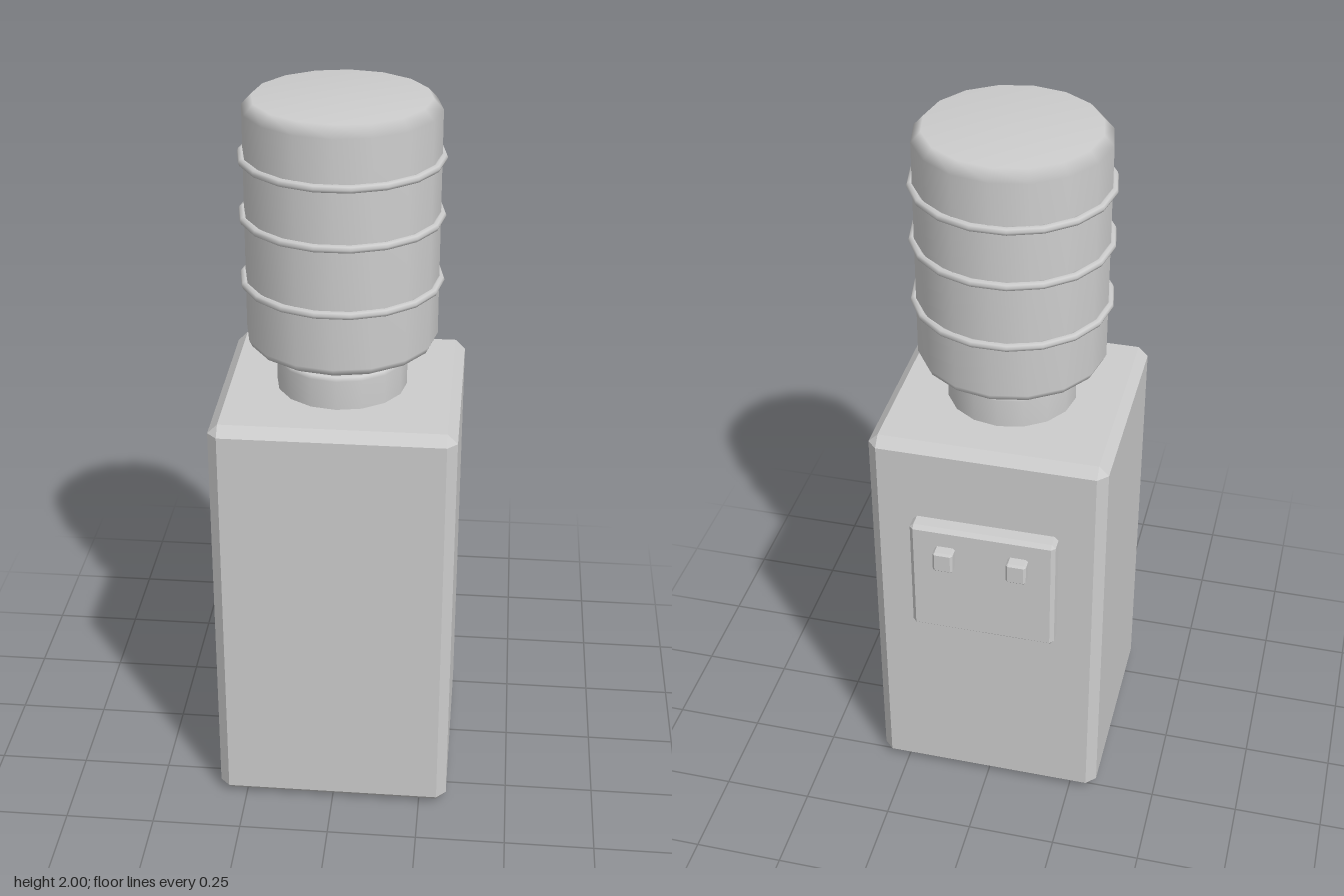
import * as THREE from 'three';
import { ConvexGeometry } from 'three/addons/geometries/ConvexGeometry.js';

const BOTTLE_Z = 0.039;

// Box with flat 45-degree chamfers on every edge, given by its min/max corners
function chamferBox(min, max, c) {
  const half = min.map((v, i) => (max[i] - v) / 2);
  const mid = min.map((v, i) => (max[i] + v) / 2);
  const points = [];
  for (const sx of [-1, 1]) for (const sy of [-1, 1]) for (const sz of [-1, 1]) {
    for (let axis = 0; axis < 3; axis++) {
      const p = [sx, sy, sz].map((s, i) => mid[i] + s * (half[i] - (i === axis ? 0 : c)));
      points.push(new THREE.Vector3(...p));
    }
  }
  return new ConvexGeometry(points);
}

export function createModel() {
  const model = new THREE.Group();
  model.name = 'waterCooler';
  const grey = new THREE.MeshStandardMaterial({ color: 0xcccccc });
  grey.name = 'lightGrey';

  const add = (name, geometry, x = 0, y = 0, z = 0) => {
    const mesh = new THREE.Mesh(geometry, grey);
    mesh.name = name;
    mesh.position.set(x, y, z);
    model.add(mesh);
  };
  const lathe = (pairs) =>
    new THREE.LatheGeometry(pairs.map(([r, y]) => new THREE.Vector2(r, y)), 16);

  // Cabinet
  add('cabinet', chamferBox([-0.328, 0, -0.277], [0.328, 1.2, 0.355], 0.027));

  // Tap panel with two taps on the back
  add('tapPanel', chamferBox([-0.203, 0.605, -0.323], [0.203, 0.963, -0.26], 0.011));
  for (const side of [-1, 1]) {
    const x = side * 0.102;
    add(side > 0 ? 'leftTap' : 'rightTap',
      chamferBox([x - 0.028, 0.842, -0.356], [x + 0.028, 0.906, -0.31], 0.006));
  }

  // Collar the bottle sits over
  add('collar', lathe([[0.178, 1.18], [0.178, 1.282], [0.172, 1.292], [0.16, 1.294], [0, 1.294]]),
    0, 0, BOTTLE_Z);

  // Bottle with softly bevelled ends
  add('bottle', lathe([
    [0, 1.328], [0.232, 1.328], [0.25, 1.338], [0.258, 1.355],
    [0.258, 1.972], [0.232, 2], [0, 2],
  ]), 0, 0, BOTTLE_Z);

  // Ribs around the bottle
  const ribGeometry = new THREE.TorusGeometry(0.261, 0.011, 8, 18).rotateX(Math.PI / 2);
  [1.51, 1.69, 1.847].forEach((y) => add('bottleRib', ribGeometry, 0, y, BOTTLE_Z));

  return model;
}
